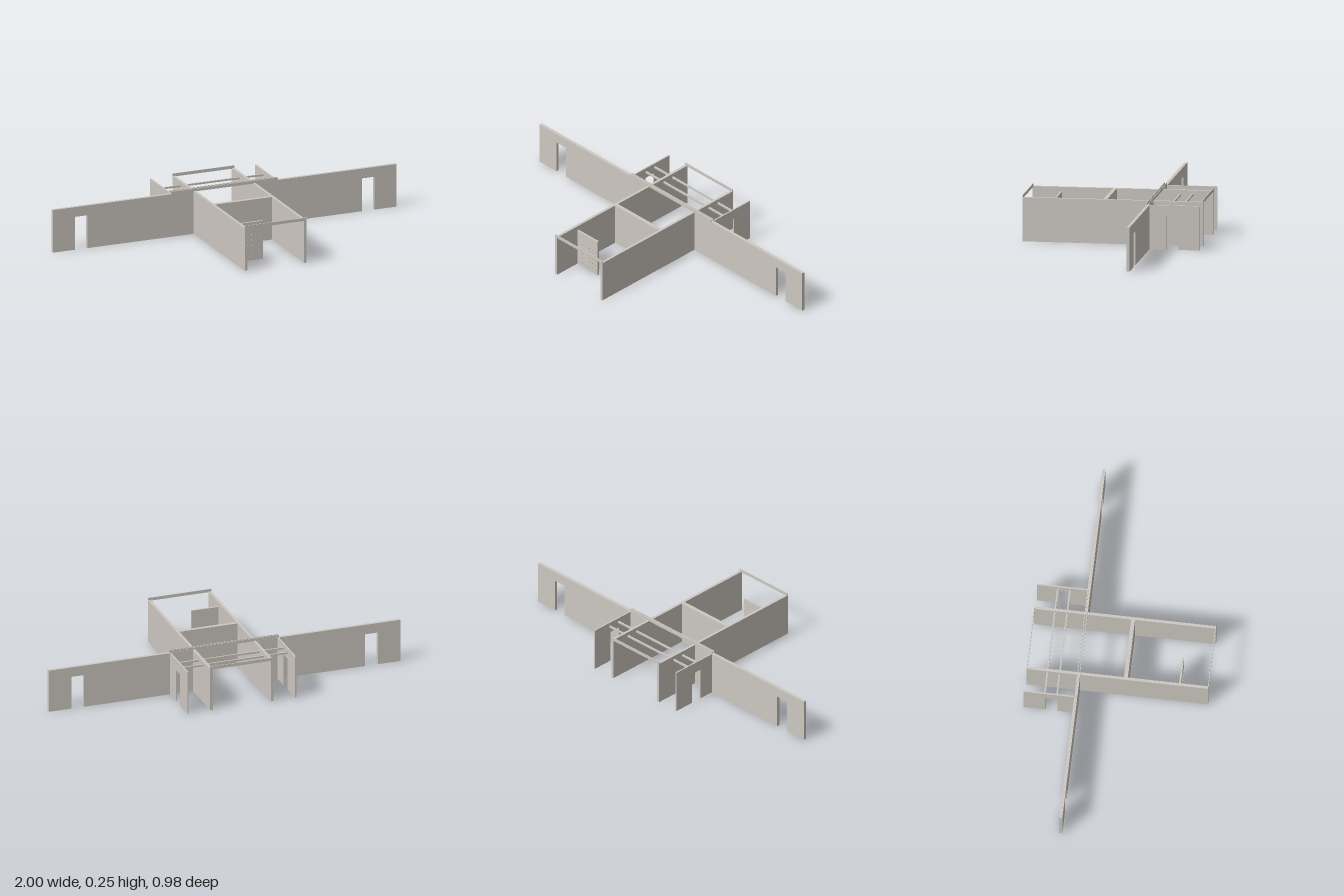
import * as THREE from 'three';

const H = 0.24; // wall height

export function createModel() {
  const model = new THREE.Group();
  const plaster = new THREE.MeshStandardMaterial({ color: 0xcdc8c1 });
  plaster.name = 'warm grey plaster';

  // Box given by its limits on each axis
  function box(name, x0, x1, y0, y1, z0, z1) {
    const mesh = new THREE.Mesh(new THREE.BoxGeometry(x1 - x0, y1 - y0, z1 - z0), plaster);
    mesh.position.set((x0 + x1) / 2, (y0 + y1) / 2, (z0 + z1) / 2);
    mesh.name = name;
    model.add(mesh);
    return mesh;
  }

  // Upright wall from u0 to u1 with a doorway that opens to the floor
  function doorWall(name, u0, u1, d0, d1, doorTop, thickness) {
    const shape = new THREE.Shape();
    [[u0, 0], [d0, 0], [d0, doorTop], [d1, doorTop], [d1, 0], [u1, 0], [u1, H], [u0, H]]
      .forEach(([u, v], i) => (i ? shape.lineTo(u, v) : shape.moveTo(u, v)));
    const geometry = new THREE.ExtrudeGeometry(shape, { depth: thickness, bevelEnabled: false });
    geometry.translate(0, 0, -thickness / 2);
    const mesh = new THREE.Mesh(geometry, plaster);
    mesh.name = name;
    model.add(mesh);
    return mesh;
  }

  for (const side of [-1, 1]) {
    const label = side > 0 ? 'left' : 'right';

    // Long parallel walls
    const x = side * 0.1725;
    box(label + 'LongWall', x - 0.0075, x + 0.0075, 0, H, -0.49, 0.49);

    // Wide cross wall with a doorway near each end
    const wing = side > 0
      ? doorWall('leftWingWall', 0.18, 1, 0.8, 0.872, 0.185, 0.017)
      : doorWall('rightWingWall', -1, -0.18, -0.872, -0.8, 0.185, 0.017);
    wing.position.z = -0.21;

    // Thin outer rear walls with a doorway
    const outer = doorWall(label + 'RearSideWall', 0.215, 0.49, 0.308, 0.372, 0.18, 0.008);
    outer.rotation.y = Math.PI / 2;
    outer.position.x = side * 0.306;
  }

  // Partition between the long walls
  box('partitionWall', -0.165, 0.165, 0, H, 0.033, 0.054);

  // Slim rails over the open ends and the cross wall
  for (const z of [-0.488, 0.488]) box('endRail', -0.18, 0.18, 0.236, 0.253, z - 0.002, z + 0.002);
  for (const z of [-0.215, -0.203]) box('crossRail', -0.31, 0.31, 0.238, 0.253, z - 0.002, z + 0.002);

  // Rear tie beams through the long walls
  for (const z of [-0.378, -0.312]) box('tieBeam', -0.306, 0.306, 0.212, 0.222, z - 0.004, z + 0.004);

  // Studded screen panel near the front
  box('screenPanel', -0.165, -0.01, 0, 0.215, 0.329, 0.339);
  for (let row = 0; row < 5; row++) {
    for (let col = 0; col < 6; col++) {
      const x = -0.15 + col * 0.025;
      const y = 0.03 + row * 0.028;
      box('panelStud', x - 0.003, x + 0.003, y - 0.003, y + 0.003, 0.339, 0.342);
    }
  }

  return model;
}
